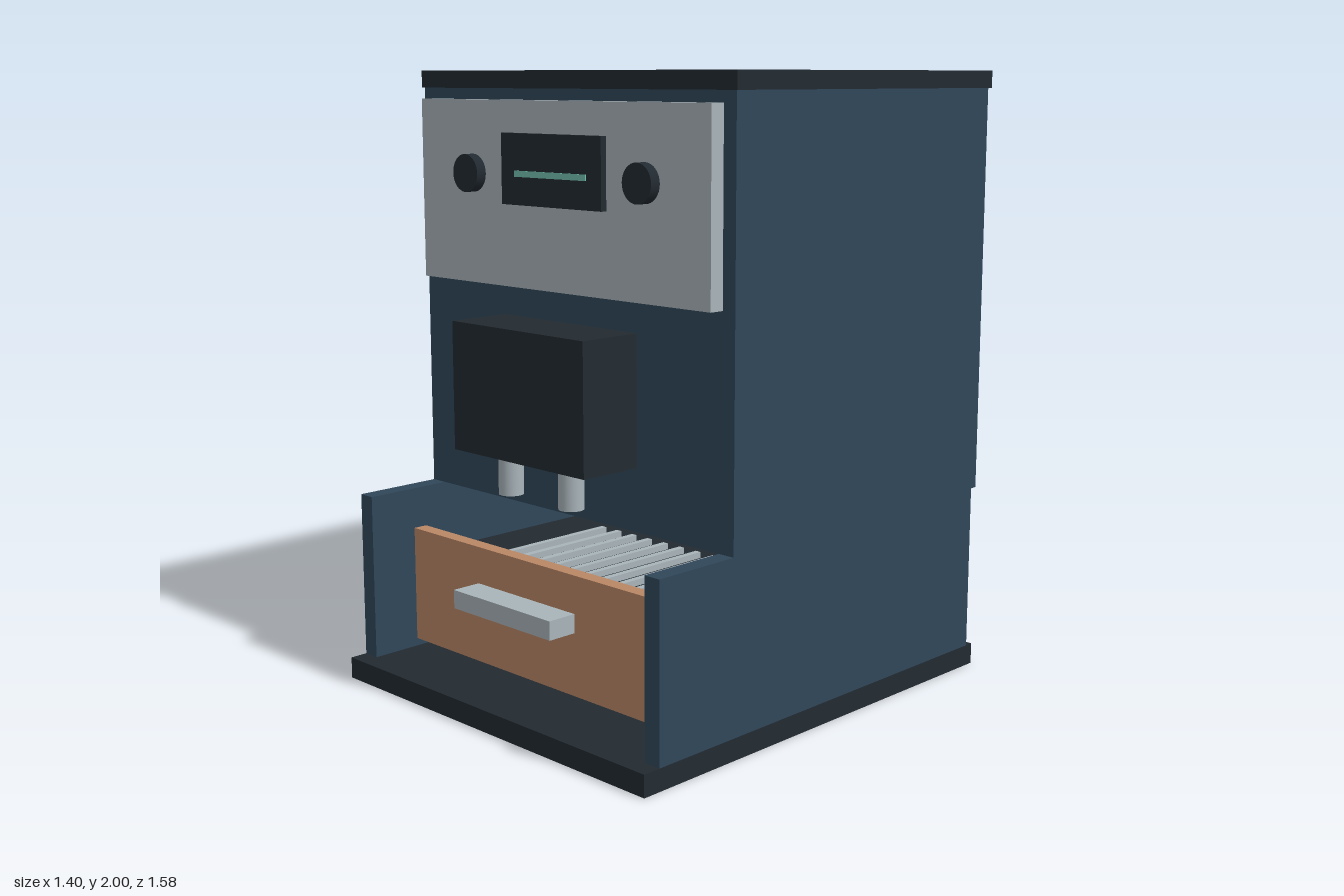
import * as THREE from 'three';

const mat = (color) => new THREE.MeshStandardMaterial({ color });

export function createModel() {
  const model = new THREE.Group();
  model.name = 'coffeeMachine';
  const blue = mat(0x30475a), dark = mat(0x222a31), metal = mat(0xa9b4ba);
  const copper = mat(0xb98765), teal = mat(0x74bfae);

  const add = (name, geometry, material) => {
    const mesh = new THREE.Mesh(geometry, material);
    mesh.name = name;
    model.add(mesh);
    return mesh;
  };
  // Box given by its extents on each axis
  const box = (name, material, [x0, x1], [y0, y1], [z0, z1]) => {
    const mesh = add(name, new THREE.BoxGeometry(x1 - x0, y1 - y0, z1 - z0), material);
    mesh.position.set((x0 + x1) / 2, (y0 + y1) / 2, (z0 + z1) / 2);
    return mesh;
  };
  const sym = (half) => [-half, half];

  // Housing
  box('basePlate', dark, sym(0.695), [0, 0.07], [-0.785, 0.79]);
  box('upperBody', blue, sym(0.695), [0.62, 1.945], [-0.78, 0.427]);
  box('lid', dark, sym(0.702), [1.945, 2], [-0.79, 0.433]);
  box('lowerBackPanel', blue, sym(0.637), [0.07, 0.62], [-0.75, -0.69]);

  // Control panel with display
  box('controlPanel', metal, sym(0.647), [1.33, 1.91], [0.427, 0.477]);
  box('display', dark, sym(0.225), [1.59, 1.81], [0.477, 0.498]);
  box('displayLine', teal, sym(0.16), [1.677, 1.696], [0.498, 0.502]);

  // Brew head
  box('brewHead', dark, sym(0.3), [0.82, 1.23], [0.427, 0.645]);

  // Mirrored parts: side walls, knobs and spouts
  for (const s of [-1, 1]) {
    const side = s > 0 ? 'left' : 'right';
    const wall = box(side + 'SideWall', blue, [0.637, 0.695], [0.07, 0.62], [-0.755, 0.73]);
    wall.position.x *= s;
    const knob = add(side + 'Knob', new THREE.CylinderGeometry(0.06, 0.06, 0.035, 32), dark);
    knob.rotation.x = Math.PI / 2;
    knob.position.set(0.387 * s, 1.68, 0.4945);
    const spout = add(side + 'Spout', new THREE.CylinderGeometry(0.04, 0.04, 0.14, 24), metal);
    spout.position.set(0.14 * s, 0.757, 0.55);
  }

  // Drip tray with a row of grille bars
  box('dripTray', dark, sym(0.535), [0.36, 0.425], [-0.1, 0.565]);
  for (let i = 0; i < 9; i++) {
    const x = (i - 4) * 0.075;
    box('grilleBar', metal, [x - 0.011, x + 0.011], [0.425, 0.445], [0, 0.47]);
  }
  box('trayPin', metal, [0.5, 0.637], [0.428, 0.442], [0.24, 0.254]);

  // Drawer front and handle
  box('drawerFront', copper, sym(0.556), [0.13, 0.51], [0.572, 0.62]);
  box('drawerHandle', metal, sym(0.226), [0.33, 0.39], [0.62, 0.72]);

  return model;
}
